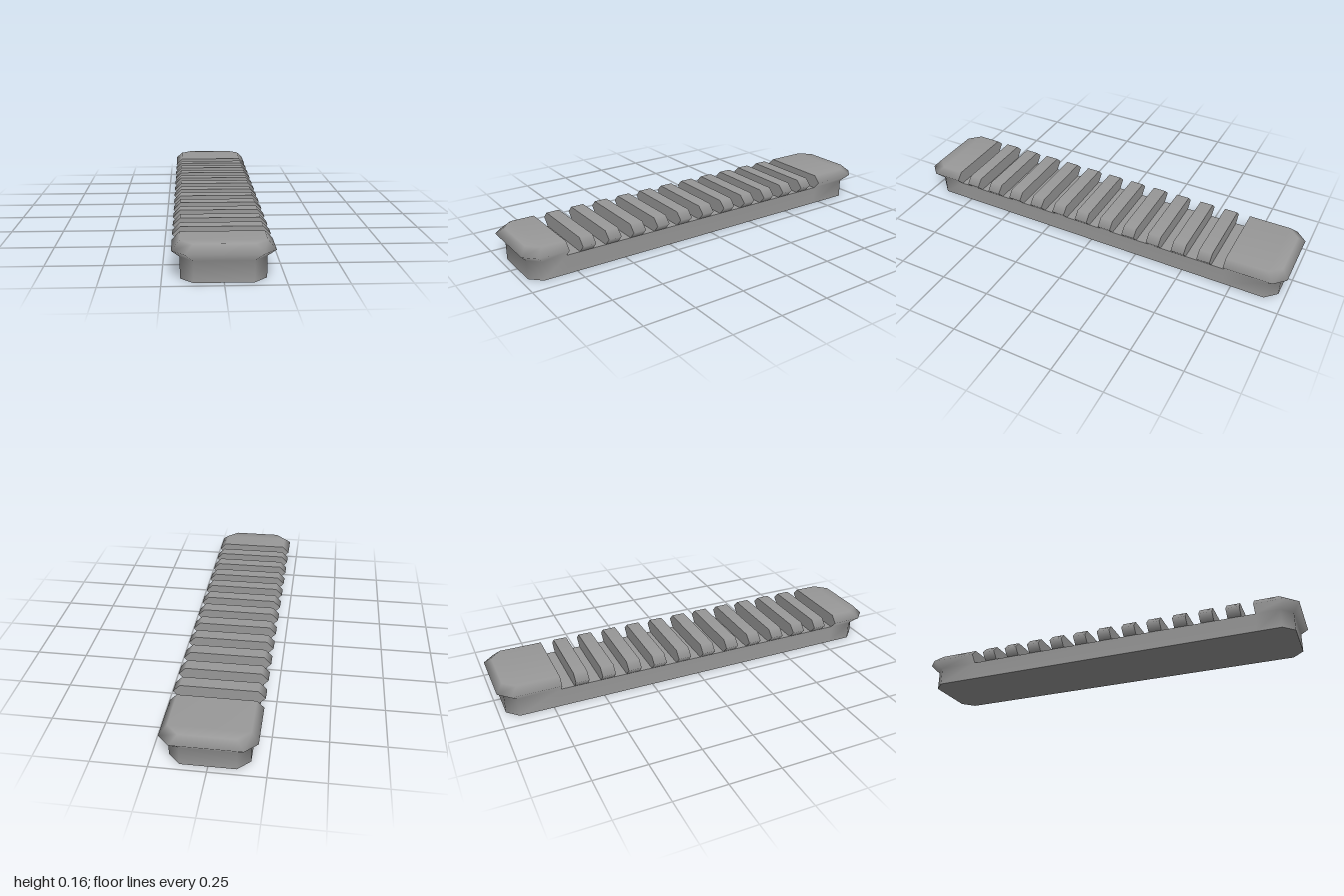
import * as THREE from 'three';

// Half-width of the rail at each height; the length follows the same outline
const LEVELS = [[0, 0.176], [0.092, 0.176], [0.128, 0.209], [0.162, 0.176]];
const WIDEST = 0.209, CHAMFER = 0.054;
const FRONT_CUT = 0.797, STEP = 0.0655, TEETH = 11;
const BACK_CUT = FRONT_CUT - STEP * (2 * TEETH + 1);

// Quads over shared points, with area-weighted smooth normals
function smoothSurface(points, quads) {
  const normals = points.map(() => new THREE.Vector3());
  const index = [];
  for (const [a, b, c, d] of quads) {
    const n = points[c].clone().sub(points[a]).cross(points[d].clone().sub(points[b]));
    [a, b, c, d].forEach((i) => normals[i].add(n));
    index.push(a, b, c, a, c, d);
  }
  const geo = new THREE.BufferGeometry();
  geo.setAttribute('position', new THREE.Float32BufferAttribute(points.flatMap((p) => p.toArray()), 3));
  geo.setAttribute('normal', new THREE.Float32BufferAttribute(normals.flatMap((n) => n.normalize().toArray()), 3));
  geo.setIndex(index);
  return geo;
}

// The same quads with their own corners, so every face is flat
function flatSurface(points, quads) {
  const corners = quads.flat().map((i) => points[i]);
  return smoothSurface(corners, quads.map((_, q) => [0, 1, 2, 3].map((i) => 4 * q + i)));
}

// Base running the full length, with a flared block at either end
function railSurfaces() {
  const N = 12;
  const points = LEVELS.flatMap(([y, w]) => {
    const end = 1 - (WIDEST - w), c = CHAMFER;
    return [
      [-w, FRONT_CUT], [-w, end - c], [-w + c, end], [w - c, end], [w, end - c], [w, FRONT_CUT],
      [w, BACK_CUT], [w, c - end], [w - c, -end], [-w + c, -end], [-w, c - end], [-w, BACK_CUT],
    ].map(([x, z]) => new THREE.Vector3(x, y, z));
  });
  const skin = [], flats = [];
  for (let k = 0; k < LEVELS.length - 1; k++) {
    for (let i = 0; i < N; i++) {
      const a = k * N + i, b = k * N + (i + 1) % N;
      // above the slot floor the long sides stay open
      if (k === 0 || i % 6 !== 5) skin.push([a, b, b + N, a + N]);
    }
  }
  const top = 3 * N;
  for (const o of [0, 6]) {
    // top and underside of an end block
    for (let i = 0; i < 2; i++) {
      const strip = [o + i, o + i + 1, o + 4 - i, o + 5 - i];
      skin.push(strip.map((p) => top + p));
      flats.push([...strip].reverse());
    }
    // inner wall of an end block
    for (const k of [1, 2]) {
      const r = k * N + o;
      flats.push([r + 5, r, r + N, r + N + 5]);
    }
  }
  // slot floor and middle of the underside
  flats.push([0, 5, 6, 11].map((p) => N + p), [11, 6, 5, 0]);
  return [smoothSurface(points, skin), flatSurface(points, flats)];
}

// One cross rib with the flared profile
function ribSurfaces() {
  const upper = LEVELS.slice(1);
  const profile = [...upper, ...upper.map(([y, w]) => [y, -w]).reverse()];
  const points = [0, STEP].flatMap((z) => profile.map(([y, x]) => new THREE.Vector3(x, y, z)));
  const skin = [0, 1, 2, 3, 4].map((i) => [i + 6, i, i + 1, i + 7]);
  const walls = [[11, 6, 7, 10], [10, 7, 8, 9], [0, 5, 4, 1], [1, 4, 3, 2]];
  return [smoothSurface(points, skin), flatSurface(points, walls)];
}

export function createModel() {
  const model = new THREE.Group();
  model.name = 'slottedRail';
  const material = new THREE.MeshStandardMaterial({ color: 0x999999 });
  const addPart = (name, surfaces) => {
    const part = new THREE.Group();
    part.name = name;
    surfaces.forEach((geo) => part.add(new THREE.Mesh(geo, material)));
    model.add(part);
    return part;
  };

  addPart('railBase', railSurfaces());

  // Evenly spaced ribs, gaps as wide as the ribs
  const rib = ribSurfaces();
  for (let i = 0; i < TEETH; i++) {
    addPart(`rib${i + 1}`, rib).position.z = FRONT_CUT - STEP * (2 * i + 2);
  }
  return model;
}
